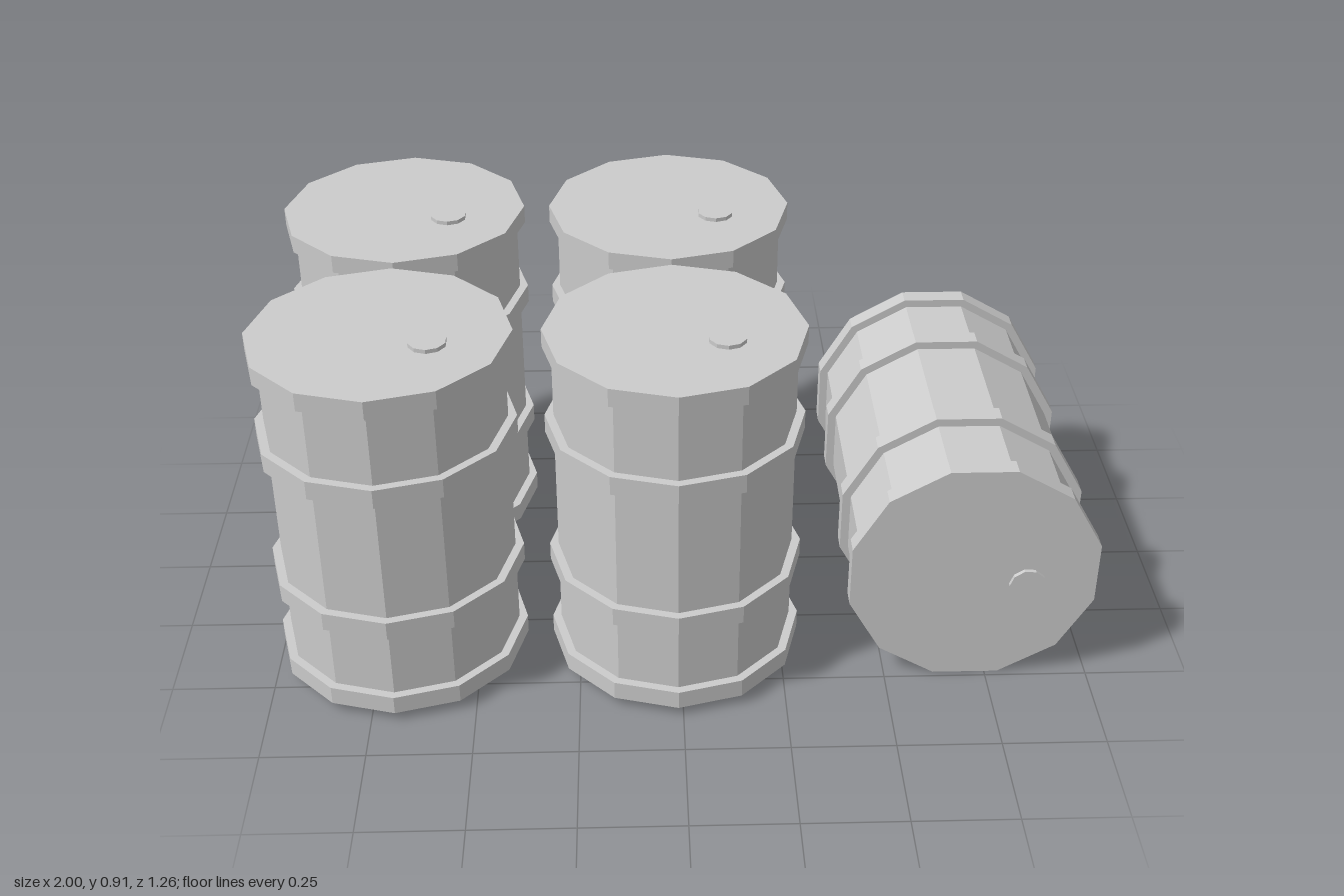
import * as THREE from 'three';

const SIDES = 12;
const BODY_R = 0.287, HOOP_R = 0.308, HEIGHT = 0.876;
// bottom and top of each raised hoop, measured from the drum's base
const HOOPS = [[0, 0.047], [0.225, 0.272], [0.597, 0.645], [0.83, HEIGHT]];

const material = new THREE.MeshStandardMaterial({ color: 0xcccccc, flatShading: true });

// Closed drum outline: bottom disc, four hoops with the body between them, lid
function shellGeometry() {
  const profile = [new THREE.Vector2(0, 0)];
  HOOPS.forEach(([low, high], i) => {
    if (i > 0) profile.push(new THREE.Vector2(BODY_R, low));
    profile.push(new THREE.Vector2(HOOP_R, low), new THREE.Vector2(HOOP_R, high));
    if (i < HOOPS.length - 1) profile.push(new THREE.Vector2(BODY_R, high));
  });
  profile.push(new THREE.Vector2(0, HEIGHT));
  return new THREE.LatheGeometry(profile, SIDES);
}

export function createModel() {
  const model = new THREE.Group();
  model.name = 'barrelCluster';

  const shellGeo = shellGeometry();
  const bungGeo = new THREE.CylinderGeometry(0.045, 0.045, 0.02, 10);

  // One drum standing on its own base, with an off-centre bung on the lid
  function makeBarrel(name) {
    const barrel = new THREE.Group();
    barrel.name = name;
    const shell = new THREE.Mesh(shellGeo, material);
    shell.name = 'barrelShell';
    const bung = new THREE.Mesh(bungGeo, material);
    bung.name = 'bung';
    bung.position.set(0.118, HEIGHT, 0.061);
    barrel.add(shell, bung);
    model.add(barrel);
    return barrel;
  }

  // Four upright barrels in a two-by-two block
  for (const [side, x] of [['Right', -0.692], ['Middle', -0.012]]) {
    for (const [row, z] of [['front', 0.322], ['back', -0.322]]) {
      makeBarrel(`${row}${side}Barrel`).position.set(x, 0.024, z);
    }
  }

  // Barrel lying on one of its flat sides, lid towards the front
  const restHeight = HOOP_R * Math.cos(Math.PI / SIDES);
  const fallen = makeBarrel('fallenBarrel');
  fallen.rotation.set(Math.PI / 2, Math.PI / SIDES, 0);
  fallen.position.set(1 - restHeight, restHeight, -0.391);

  return model;
}
